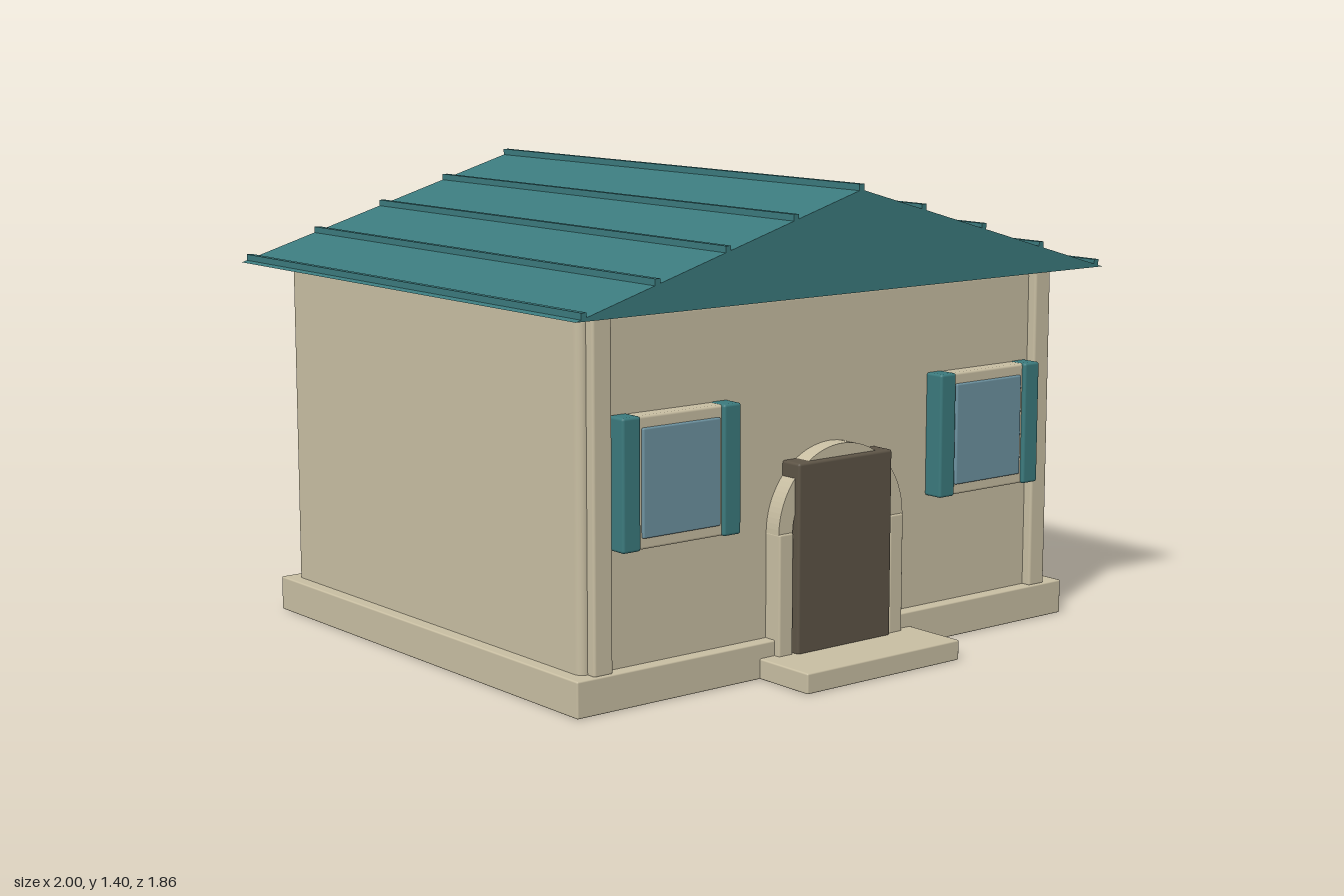
import * as THREE from 'three';
import { RoundedBoxGeometry } from 'three/addons/geometries/RoundedBoxGeometry.js';

function mat(name, color) {
  const m = new THREE.MeshStandardMaterial({ color });
  m.name = name;
  return m;
}

export function createModel() {
  const stucco = mat('stucco', 0xc8bea2);
  const teal = mat('teal', 0x3b7a7d);
  const glass = mat('glass', 0x6d92a0);
  const wood = mat('darkWood', 0x5d5446);

  const house = new THREE.Group();
  house.name = 'house';

  const add = (name, geometry, material, parent = house) => {
    const mesh = new THREE.Mesh(geometry, material);
    mesh.name = name;
    parent.add(mesh);
    return mesh;
  };

  // Box from its limits on each axis, with softened edges of radius r
  const box = (name, material, [x0, x1], [y0, y1], [z0, z1], r = 0.005, parent = house) => {
    const size = [x1 - x0, y1 - y0, z1 - z0];
    const geometry = r > 0 ? new RoundedBoxGeometry(...size, 2, r) : new THREE.BoxGeometry(...size);
    const mesh = add(name, geometry, material, parent);
    mesh.position.set((x0 + x1) / 2, (y0 + y1) / 2, (z0 + z1) / 2);
    return mesh;
  };

  // Base, step and walls
  box('base', stucco, [-0.94, 0.94], [0, 0.105], [-0.84, 0.725]);
  box('doorStep', stucco, [-0.295, 0.295], [0, 0.06], [0.66, 0.93]);
  box('walls', stucco, [-0.9, 0.9], [0.07, 1.094], [-0.805, 0.685], 0.025);

  // Gabled roof, a solid prism running front to back
  const zBack = -0.93, zFront = 0.81, eaveY = 1.095, ridgeY = 1.385;
  const depth = zFront - zBack;
  const gable = new THREE.Shape([
    new THREE.Vector2(-1, eaveY),
    new THREE.Vector2(1, eaveY),
    new THREE.Vector2(0, ridgeY),
  ]);
  add('roof', new THREE.ExtrudeGeometry(gable, { depth, bevelEnabled: false }), teal).position.z = zBack;

  // Standing seams, evenly spaced across both slopes
  for (let i = -4; i <= 4; i++) {
    const x = i * 0.2433;
    const y = ridgeY - Math.abs(x) * (ridgeY - eaveY) + 0.006;
    box('roofSeam', teal, [x - 0.009, x + 0.009], [y - 0.01, y + 0.01], [zBack, zFront], 0);
  }

  // Corner pilasters, windows and door posts on both sides
  for (const side of [-1, 1]) {
    const span = (a, b) => (side > 0 ? [a, b] : [-b, -a]);
    box('cornerPilaster', stucco, span(0.81, 0.875), [0.1, 1.094], [0.65, 0.715], 0.008);

    const win = new THREE.Group();
    win.name = 'window';
    house.add(win);
    box('windowFrame', stucco, span(0.42, 0.765), [0.44, 0.81], [0.67, 0.735], 0.008, win);
    box('windowPane', glass, span(0.455, 0.727), [0.472, 0.777], [0.7, 0.744], 0.005, win);
    box('shutter', teal, span(0.385, 0.447), [0.44, 0.812], [0.68, 0.748], 0.008, win);
    box('shutter', teal, span(0.738, 0.8), [0.44, 0.812], [0.68, 0.748], 0.008, win);

    box('doorPost', stucco, span(0.188, 0.24), [0.05, 0.415], [0.67, 0.745], 0.006);
  }

  // Rounded arch over the door
  const arch = new THREE.Shape();
  arch.absarc(0, 0, 0.24, 0, Math.PI, false);
  arch.absarc(0, 0, 0.188, Math.PI, 0, true);
  const archGeometry = new THREE.ExtrudeGeometry(arch, { depth: 0.06, bevelEnabled: false, curveSegments: 24 });
  add('doorArch', archGeometry, stucco).position.set(0, 0.412, 0.68);

  // Door
  box('door', wood, [-0.18, 0.18], [0.055, 0.615], [0.68, 0.758], 0.008);

  return house;
}
